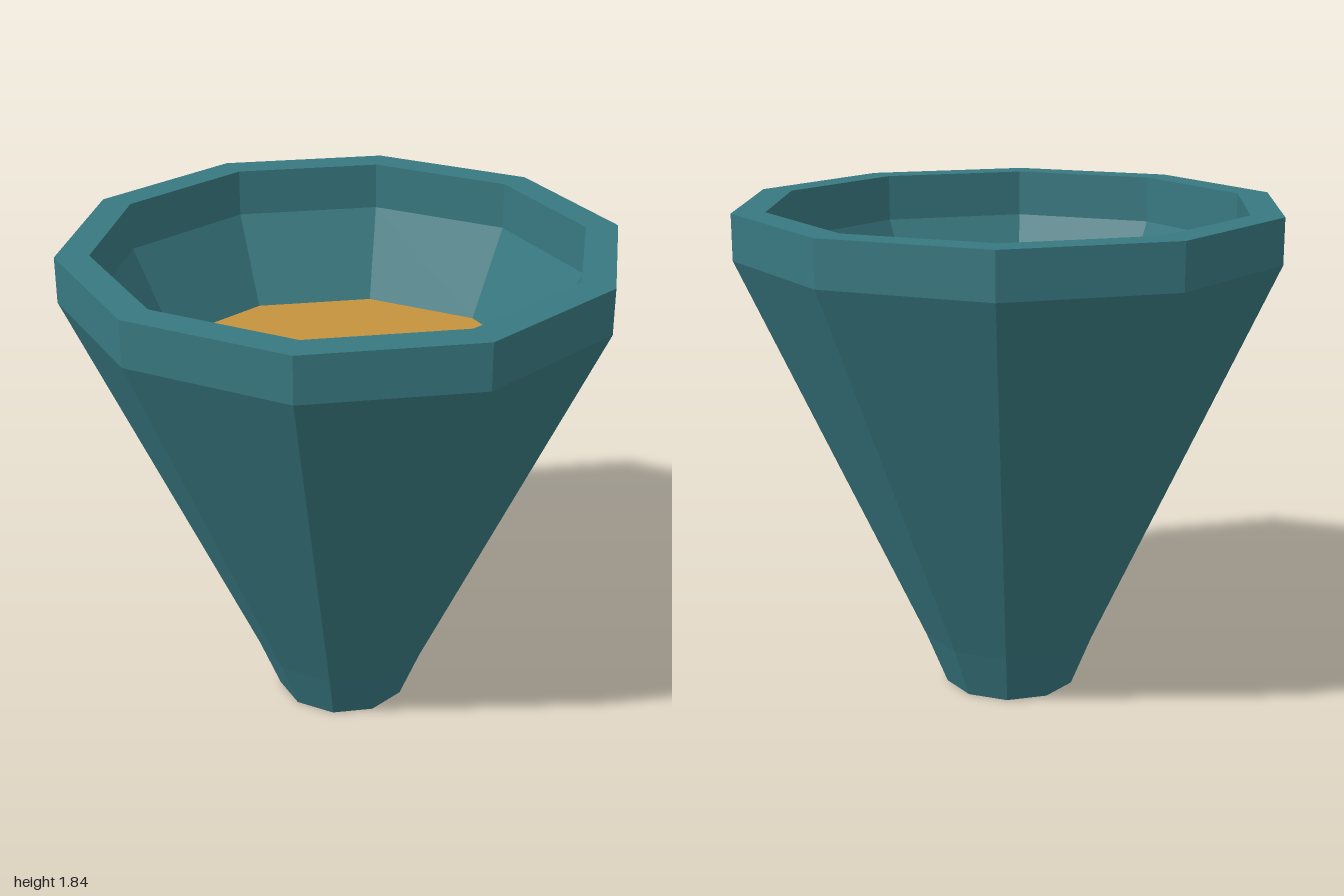
import * as THREE from 'three';

const SIDES = 10;

// Faceted ten-sided ring swept from a profile of [radius, height] points
function facetedRing(name, profile, material) {
  const points = profile.map(([r, y]) => new THREE.Vector2(r, y));
  const geometry = new THREE.LatheGeometry(points, SIDES, Math.PI / 2).toNonIndexed();
  geometry.computeVertexNormals();
  const mesh = new THREE.Mesh(geometry, material);
  mesh.name = name;
  return mesh;
}

export function createModel() {
  const group = new THREE.Group();
  group.name = 'hopper';
  const teal = new THREE.MeshStandardMaterial({ color: 0x387880, side: THREE.DoubleSide });
  teal.name = 'teal metal';
  const grain = new THREE.MeshStandardMaterial({ color: 0xc4933e, side: THREE.DoubleSide });
  grain.name = 'golden grain';

  // Upright collar with a flat lip
  group.add(facetedRing('rim', [[1, 1.67], [1, 1.835], [0.88, 1.835], [0.88, 1.66]], teal));
  // Sloping outer and inner walls
  group.add(facetedRing('outerWall', [[0.33, 0.2], [1, 1.67]], teal));
  group.add(facetedRing('innerWall', [[0.88, 1.66], [0.72, 1.33], [0.25, 0.2]], teal));
  // Open spout at the foot
  group.add(facetedRing('spout', [[0.25, 0.2], [0.235, 0], [0.25, 0], [0.33, 0.2]], teal));

  // Level surface of the contents
  const fill = new THREE.Mesh(new THREE.CircleGeometry(0.72, SIDES).rotateX(-Math.PI / 2), grain);
  fill.name = 'grainSurface';
  fill.position.y = 1.33;
  group.add(fill);
  return group;
}
